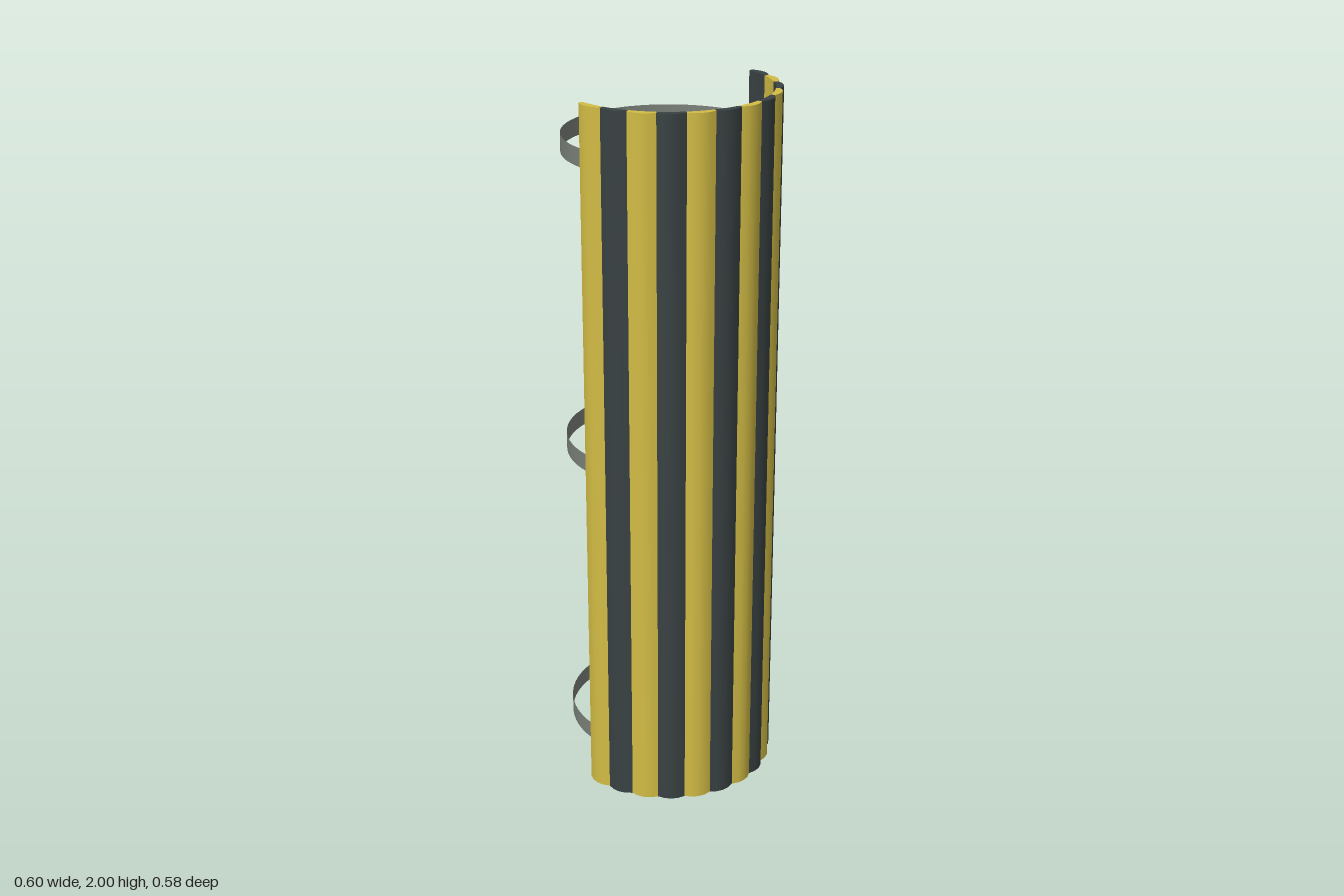
import * as THREE from 'three';
import { toCreasedNormals } from 'three/addons/utils/BufferGeometryUtils.js';

const HEIGHT = 2;
const CENTRE_Z = -0.007;
const SLATS = 12;
const INNER = 0.279;
// outer radius across one slat: low at the joints, bulging in the middle
const BULGE = [0.291, 0.2985, 0.301, 0.2985, 0.291];

function paint(name, color, side = THREE.FrontSide) {
  const material = new THREE.MeshStandardMaterial({ color, side });
  material.name = name;
  return material;
}

// one upright slat spanning the angles a0 to a1 (0 = +x, growing towards +z)
function slatGeometry(a0, a1) {
  const steps = BULGE.length - 1;
  const point = (r, i) => {
    const a = a0 + (a1 - a0) * i / steps;
    return new THREE.Vector2(r * Math.cos(a), -r * Math.sin(a));
  };
  const outer = BULGE.map((r, i) => point(r, i));
  const inner = BULGE.map((_, i) => point(INNER, i)).reverse();
  const geometry = new THREE.ExtrudeGeometry(new THREE.Shape([...outer, ...inner]), {
    depth: HEIGHT, bevelEnabled: false,
  });
  geometry.rotateX(-Math.PI / 2);
  return toCreasedNormals(geometry, 0.5);
}

export function createModel() {
  const model = new THREE.Group();
  model.name = 'slattedGuard';
  const yellow = paint('yellow', 0xd2bc45);
  const charcoal = paint('charcoal', 0x394142);
  const grey = paint('strapGrey', 0x7b8079, THREE.DoubleSide);

  // half-round shell of alternating slats
  const shell = new THREE.Group();
  shell.name = 'shell';
  const step = Math.PI / SLATS;
  for (let i = 0; i < SLATS; i++) {
    const slat = new THREE.Mesh(slatGeometry(i * step, (i + 1) * step), i % 2 ? yellow : charcoal);
    slat.name = i % 2 ? 'yellowSlat' : 'charcoalSlat';
    shell.add(slat);
  }
  shell.position.z = CENTRE_Z;
  model.add(shell);

  // three thin straps closing the back half
  const strapGeometry = new THREE.CylinderGeometry(0.285, 0.285, 0.05, 32, 1, true, Math.PI / 2, Math.PI);
  for (const y of [0.152, 1.003, 1.855]) {
    const strap = new THREE.Mesh(strapGeometry, grey);
    strap.name = 'strap';
    strap.position.set(0, y, CENTRE_Z);
    model.add(strap);
  }
  return model;
}
